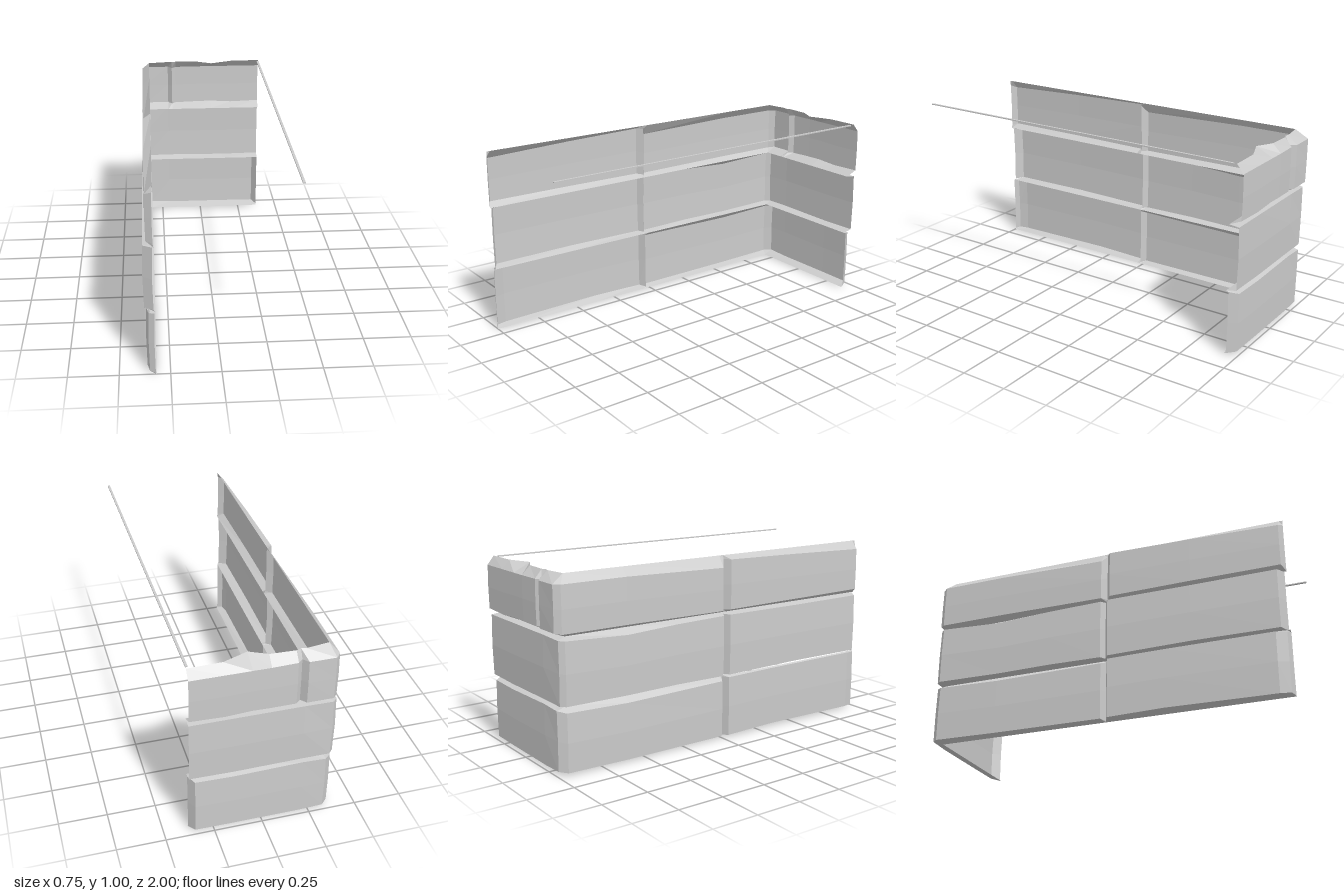
import * as THREE from 'three';

const material = new THREE.MeshStandardMaterial({
  color: 0xcccccc, flatShading: true, side: THREE.DoubleSide,
});

const SIDE_IN = -0.318; // depth of the joints in the long wall
const END_IN = -0.928;  // depth of the joints in the short wall

// One vertical rib of a course: outer point, joint point, heights of the lower and upper bevels.
const side = (z, x, b, t, topIn = SIDE_IN) => ({ x, z, b, t, low: [SIDE_IN, z], high: [topIn, z] });
const end = (x, z, b, t, topIn = END_IN) => ({ x, z, b, t, low: [x, END_IN], high: [x, topIn] });
const corner = (x, z, b, t) => ({ x, z, b, t, low: [SIDE_IN, END_IN], high: [SIDE_IN, END_IN] });

// Course of stones: an open skin through the ribs, bevelled into the joints below and above.
function course(name, y0, y1, bulge, ribs) {
  const positions = [], index = [], rows = 5;
  ribs.forEach((r, i) => {
    const lo = y0 + r.b, hi = y1 - r.t;
    const out = r.low[0] === r.x && r.low[1] !== r.z ? [0, -bulge] : [-bulge, 0];
    positions.push(
      r.low[0], y0, r.low[1],
      r.x, lo, r.z,
      r.x + out[0], (lo + hi) / 2, r.z + out[1],
      r.x, hi, r.z,
      r.high[0], y1, r.high[1]);
    if (!i) return;
    for (let j = 0; j < rows - 1; j++) {
      const a = (i - 1) * rows + j, b = i * rows + j;
      index.push(a, a + 1, b + 1, a, b + 1, b);
    }
  });
  const geometry = new THREE.BufferGeometry();
  geometry.setAttribute('position', new THREE.Float32BufferAttribute(positions, 3));
  geometry.setIndex(index);
  geometry.computeVertexNormals();
  const mesh = new THREE.Mesh(geometry, material);
  mesh.name = name;
  return mesh;
}

export function createModel() {
  const group = new THREE.Group();
  group.name = 'stoneCornerWall';

  group.add(course('bottomCourse', 0.005, 0.35, 0.003, [
    side(1.0, -0.322, 0.005, 0.005, -0.345),
    side(0.985, -0.35, 0.01, 0.01, -0.345),
    side(0.93, -0.362, 0.01, 0.005, -0.35),
    side(0.35, -0.362, 0.018, 0.005, -0.35),
    side(0.04, -0.362, 0.01, 0.008, -0.345),
    side(0.02, -0.322, 0.005, 0.01), // joint between stones
    side(0.0, -0.355, 0.01, 0.025),
    side(-0.6, -0.36, 0.01, 0.035),
    corner(-0.36, -0.95, 0.015, 0.025),
    corner(-0.325, -0.987, 0.02, 0.015),
    end(-0.2, -0.987, 0.015, 0.01),
    end(0.15, -0.987, 0.015, 0.018),
    end(0.345, -0.985, 0.015, 0.015),
    end(0.373, -0.94, 0.005, 0.005),
  ]));

  group.add(course('middleCourse', 0.35, 0.695, 0.004, [
    side(0.99, -0.325, 0.006, 0.005),
    side(0.96, -0.37, 0.01, 0.008),
    side(0.5, -0.37, 0.014, 0.01),
    side(0.04, -0.368, 0.008, 0.008),
    side(0.02, -0.335, 0.006, 0.006), // joint between stones
    side(0.0, -0.364, 0.006, 0.01),
    side(-0.3, -0.364, 0.01, 0.016),
    side(-0.6, -0.364, 0.006, 0.03),
    corner(-0.367, -0.955, 0.01, 0.012),
    corner(-0.345, -0.98, 0.01, 0.01),
    end(-0.2, -0.982, 0.012, 0.006),
    end(0.15, -0.982, 0.008, 0.006),
    end(0.373, -0.982, 0.012, 0.006),
  ]));

  group.add(course('topCourse', 0.695, 1, 0.002, [
    side(1.0, -0.322, 0.02, 0.03),
    side(0.98, -0.355, 0.025, 0.045),
    side(0.5, -0.36, 0.022, 0.03),
    side(0.05, -0.36, 0.018, 0.02),
    side(0.025, -0.325, 0.015, 0.02), // joint between stones
    side(0.0, -0.358, 0.015, 0.06),
    side(-0.6, -0.36, 0.02, 0.045),
    corner(-0.36, -0.965, 0.02, 0.045),
    corner(-0.335, -0.995, 0.025, 0.045),
    end(-0.2, -0.995, 0.025, 0.045, -0.945),
    end(-0.175, -0.965, 0.025, 0.045, -0.94), // joint between stones
    end(-0.15, -0.988, 0.025, 0.045, -0.95),
    end(-0.02, -0.992, 0.028, 0.045, -0.945),
    end(0.07, -0.992, 0.03, 0.045, -0.9),
    end(0.2, -0.992, 0.022, 0.045, -0.95),
    end(0.373, -0.992, 0.028, 0.045, -0.955),
  ]));

  // Thin strip along the open side
  const strip = new THREE.Mesh(new THREE.BoxGeometry(0.012, 0.006, 1.93), material);
  strip.name = 'edgeStrip';
  strip.position.set(0.366, 0.996, 0.03);
  group.add(strip);

  return group;
}
